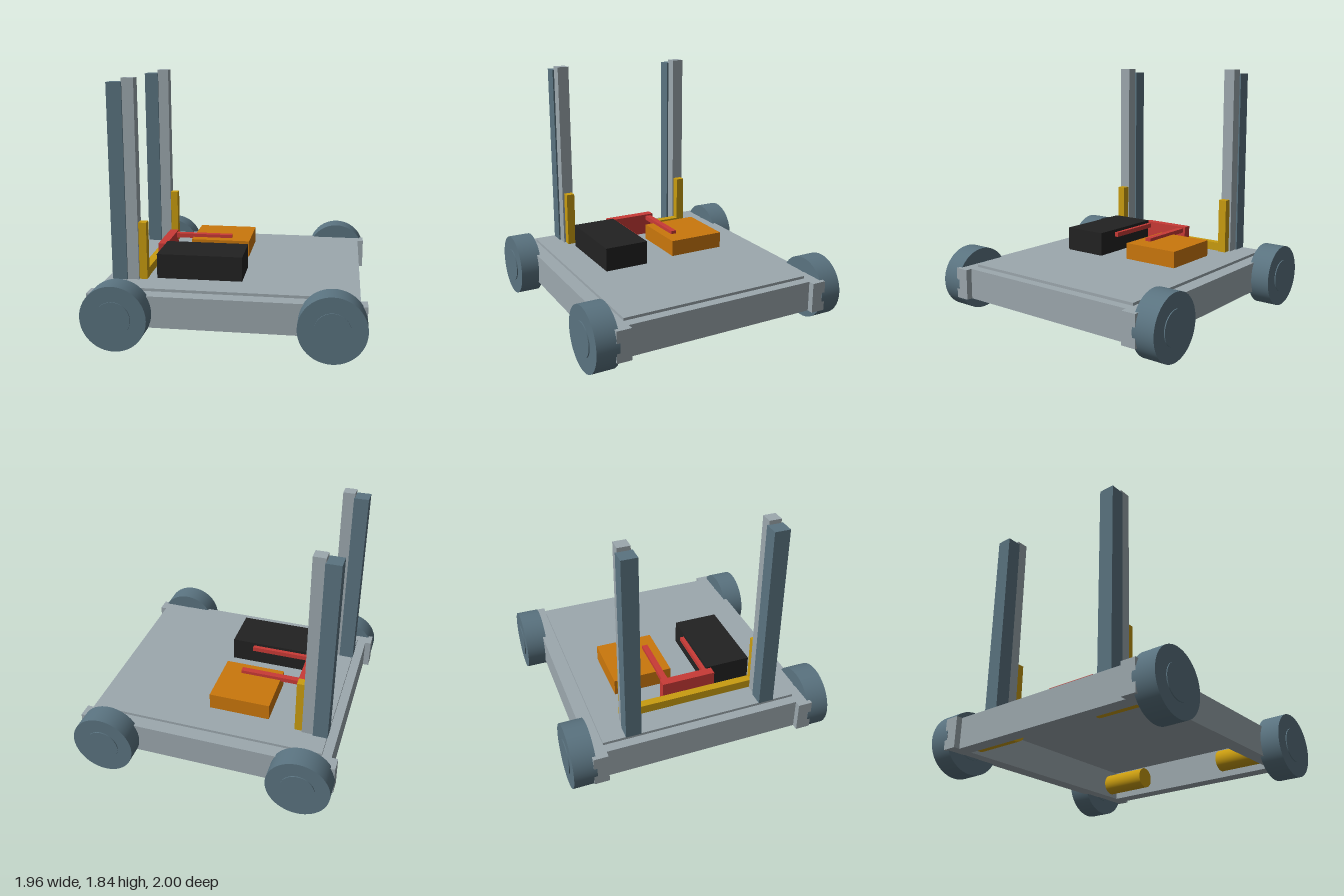
import * as THREE from 'three';

const mat = (name, color) => {
  const m = new THREE.MeshStandardMaterial({ color });
  m.name = name;
  return m;
};

export function createModel() {
  const root = new THREE.Group();
  root.name = 'wheeledRobotBase';

  const grey = mat('lightGrey', 0x9ca8ae);
  const slate = mat('slateBlue', 0x5a7380);
  const yellow = mat('yellow', 0xc99c10);
  const orange = mat('orange', 0xca770c);
  const red = mat('red', 0xc93a36);
  const black = mat('black', 0x222222);

  // Box given by its extents on each axis
  const box = (name, material, [x0, x1], [y0, y1], [z0, z1]) => {
    const mesh = new THREE.Mesh(new THREE.BoxGeometry(x1 - x0, y1 - y0, z1 - z0), material);
    mesh.position.set((x0 + x1) / 2, (y0 + y1) / 2, (z0 + z1) / 2);
    mesh.name = name;
    root.add(mesh);
    return mesh;
  };
  // Extents mirrored to the given side, lowest first
  const side = (s, a, b) => (s > 0 ? [a, b] : [-b, -a]);

  // Cylinder lying along z
  const axle = (name, material, radius, x, [z0, z1]) => {
    const geo = new THREE.CylinderGeometry(radius, radius, z1 - z0, 48);
    geo.rotateX(Math.PI / 2);
    const mesh = new THREE.Mesh(geo, material);
    mesh.position.set(x, 0.236, (z0 + z1) / 2);
    mesh.name = name;
    root.add(mesh);
  };

  // Open frame and the deck on top of it
  for (const s of [1, -1]) {
    box('sideRail', grey, [-0.977, 0.977], [0.13, 0.36], side(s, 0.74, 0.85));
    box('endRail', grey, side(s, 0.82, 0.93), [0.13, 0.36], [-0.74, 0.74]);
  }
  box('deck', grey, [-0.86, 0.86], [0.355, 0.38], [-0.745, 0.745]);

  // Wheels with raised hubs, and the drive motors inside the frame
  for (const sx of [1, -1]) {
    for (const sz of [1, -1]) {
      axle('wheel', slate, 0.235, sx * 0.745, side(sz, 0.825, 0.993));
      axle('wheelHub', slate, 0.125, sx * 0.745, side(sz, 0.82, 1.0));
      axle('motor', yellow, 0.08, sx * 0.745, side(sz, 0.37, 0.745));
    }
  }

  // Two masts, each a fixed post with a sliding post in front, and lift uprights
  for (const s of [1, -1]) {
    box('rearPost', slate, [-0.865, -0.755], [0.38, 1.81], side(s, 0.462, 0.577));
    box('frontPost', grey, [-0.76, -0.67], [0.38, 1.84], side(s, 0.475, 0.565));
    box('liftUpright', yellow, [-0.672, -0.612], [0.25, 0.805], side(s, 0.485, 0.55));
  }
  box('liftCrossbar', yellow, [-0.672, -0.612], [0.385, 0.45], [-0.485, 0.485]);

  // Fork carriage with two arms
  box('forkPlate', red, [-0.612, -0.545], [0.382, 0.552], [-0.205, 0.205]);
  for (const s of [1, -1]) {
    box('forkArm', red, [-0.545, -0.09], [0.505, 0.54], side(s, 0.14, 0.185));
  }

  // Battery and control box on the deck
  box('battery', black, [-0.547, 0.083], [0.38, 0.563], [0.17, 0.515]);
  box('controlBox', orange, [-0.405, 0.06], [0.39, 0.515], [-0.512, -0.067]);

  return root;
}
